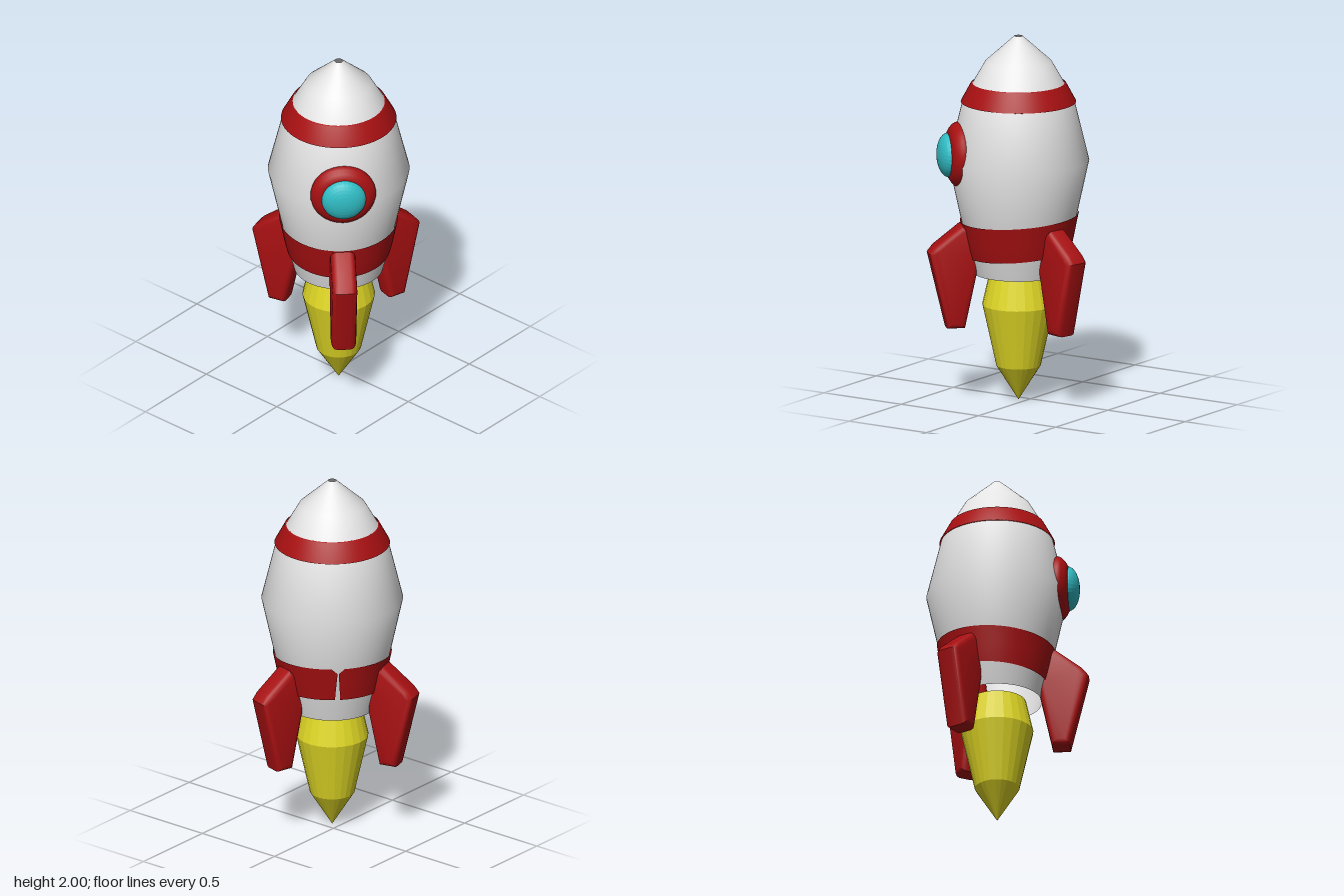
import * as THREE from 'three';
import { toCreasedNormals } from 'three/addons/utils/BufferGeometryUtils.js';

const mat = (name, color, open) => {
  const m = new THREE.MeshStandardMaterial({ color });
  m.name = name;
  if (open) m.side = THREE.DoubleSide;
  return m;
};
const v2 = (pts) => pts.map(([x, y]) => new THREE.Vector2(x, y));
const lathe = (pts, sides) => new THREE.LatheGeometry(v2(pts), sides);
const faceted = (geo) => {
  const g = geo.toNonIndexed();
  g.computeVertexNormals();
  return g;
};

// Hull profile as [radius, height], bottom to top
const HULL = [[0.24, 0.7], [0.28, 0.85], [0.31, 1.0], [0.38, 1.32], [0.302, 1.64],
  [0.247, 1.74], [0.178, 1.86], [0.022, 2.0]];
function hullRadius(y) {
  const i = Math.max(1, HULL.findIndex((p) => p[1] >= y));
  const [r0, y0] = HULL[i - 1], [r1, y1] = HULL[i];
  return r0 + (r1 - r0) * (y - y0) / (y1 - y0);
}

// Tilted lower band, open at a narrow notched seam at the back right
function lowerBandGeometry() {
  const rows = 5, segs = 64;
  const geo = new THREE.LatheGeometry(v2(Array.from({ length: rows }, (_, j) => [1, j])), segs);
  const pos = geo.attributes.position;
  for (let i = 0; i < pos.count; i++) {
    const t = (i % rows) / (rows - 1);
    const u = Math.floor(i / rows) / segs;
    const gap = 0.05 - 0.04 * t;
    const phi = Math.PI * 1.25 + gap + u * (Math.PI * 2 - 2 * gap);
    const tilt = 0.023 * Math.cos(u * Math.PI * 2);
    const notch = (u === 0 || u === 1) ? 0.03 * t : 0;
    const y = 0.815 + 0.195 * t + tilt - notch;
    const r = hullRadius(y) + 0.007;
    pos.setXYZ(i, r * Math.sin(phi), y, r * Math.cos(phi));
  }
  geo.computeVertexNormals();
  return geo;
}

// Rounded swept-back fin, x pointing outwards
function finGeometry() {
  const shape = new THREE.Shape(v2([[0.25, 0.79], [0.325, 0.445], [0.37, 0.445],
    [0.46, 0.82], [0.44, 0.845], [0.31, 0.945], [0.285, 0.935]]));
  const geo = new THREE.ExtrudeGeometry(shape, {
    depth: 0.07, bevelEnabled: true, bevelSize: 0.032, bevelThickness: 0.032, bevelSegments: 3,
  });
  geo.translate(0, 0, -0.035);
  return toCreasedNormals(geo, 0.7);
}

export function createModel() {
  const white = mat('hull white', 0xe4e4e4, true);
  const red = mat('trim red', 0xa81012, true);
  const yellow = mat('flame yellow', 0xe0d826);
  const cyan = mat('glass cyan', 0x30bcc4);

  const model = new THREE.Group();
  model.name = 'rocket';
  const rocket = new THREE.Group();
  rocket.name = 'rocketBody';
  rocket.position.set(0.047, 0, 0.047);
  model.add(rocket);

  const add = (name, geo, material, parent = rocket) => {
    const m = new THREE.Mesh(geo, material);
    m.name = name;
    parent.add(m);
    return m;
  };

  // Open hull and its painted bands
  add('hull', lathe(HULL, 64), white);
  add('upperBand', lathe([[0.302, 1.638], [0.31, 1.64], [0.256, 1.74], [0.247, 1.742]], 64), red);
  add('lowerBand', lowerBandGeometry(), red);

  // Exhaust flame
  add('flame', faceted(lathe([[0, 0], [0.12, 0.19], [0.195, 0.525], [0.155, 0.7], [0, 0.71]], 24)), yellow);

  // Porthole facing the front left
  const porthole = new THREE.Group();
  porthole.name = 'porthole';
  porthole.position.y = 1.36;
  porthole.rotation.y = Math.PI / 4;
  rocket.add(porthole);
  const frame = lathe([[0.17, 0.3], [0.177, 0.333], [0.168, 0.352], [0.148, 0.37],
    [0.12, 0.387], [0, 0.39]], 40);
  const dome = [];
  for (let i = 0; i <= 8; i++) {
    const a = (i / 8) * Math.PI / 2;
    dome.push([0.12 * Math.cos(a), 0.383 + 0.062 * Math.sin(a)]);
  }
  dome[8][0] = 0;
  add('portholeFrame', frame.rotateX(Math.PI / 2), red, porthole);
  add('portholeGlass', faceted(lathe(dome, 32).rotateX(Math.PI / 2)), cyan, porthole);

  // Three fins, evenly spaced
  const finGeo = finGeometry();
  for (let i = 0; i < 3; i++) {
    add('fin' + (i + 1), finGeo, red).rotation.y = -Math.PI / 4 - i * Math.PI * 2 / 3;
  }
  return model;
}
